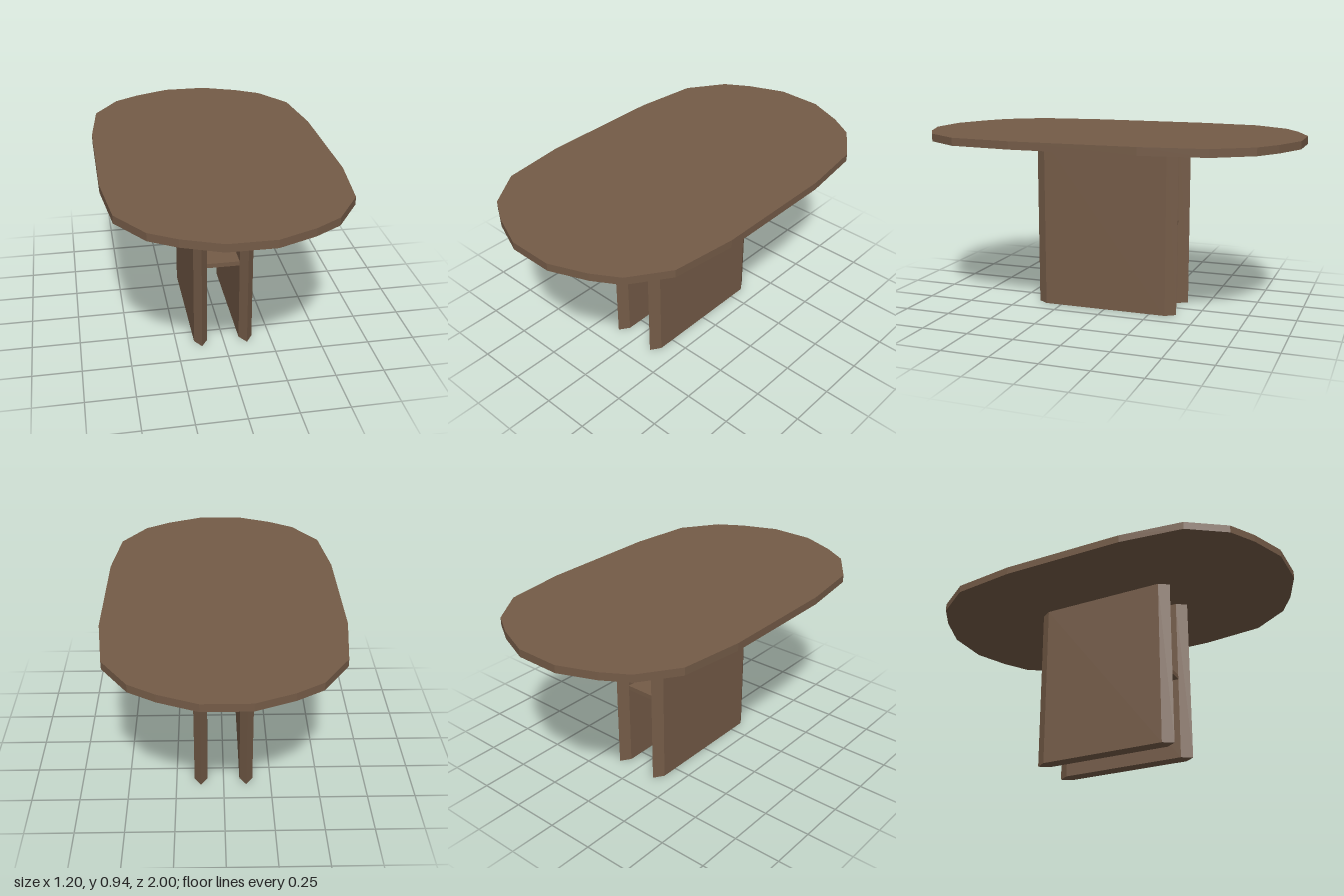
import * as THREE from 'three';

const wood = new THREE.MeshStandardMaterial({ color: 0x745b47, flatShading: true });

// Upright slab from a plan outline given for one quadrant, mirrored to all four
function slab(name, quadrant, bottom, height) {
  const half = [...quadrant, ...quadrant.map(([x, z]) => [x, -z]).reverse()];
  const outline = [...half, ...half.map(([x, z]) => [-x, -z])];
  const seen = new Set();
  const points = outline
    .filter(([x, z]) => {
      const key = `${x + 0},${z + 0}`;
      return !seen.has(key) && seen.add(key);
    })
    .map(([x, z]) => new THREE.Vector2(x, z));
  const geometry = new THREE.ExtrudeGeometry(new THREE.Shape(points), { depth: height, bevelEnabled: false });
  geometry.rotateX(-Math.PI / 2);
  const mesh = new THREE.Mesh(geometry, wood);
  mesh.name = name;
  mesh.position.y = bottom;
  return mesh;
}

export function createModel() {
  const table = new THREE.Group();
  table.name = 'table';

  // Faceted oblong top
  table.add(slab('tabletop', [[0.115, 1], [0.3, 0.925], [0.43, 0.845], [0.56, 0.655], [0.6, 0.325]], 0.9, 0.04));

  // Two panel legs with pointed ends
  for (const side of [-1, 1]) {
    const leg = slab(side > 0 ? 'leftLeg' : 'rightLeg', [[0, 0.39], [0.035, 0.337]], 0, 0.9);
    leg.position.x = side * 0.12;
    table.add(leg);
  }

  // Shelf joining the legs
  const shelf = new THREE.Mesh(new THREE.BoxGeometry(0.17, 0.024, 0.674), wood);
  shelf.name = 'shelf';
  shelf.position.y = 0.452;
  table.add(shelf);

  return table;
}
